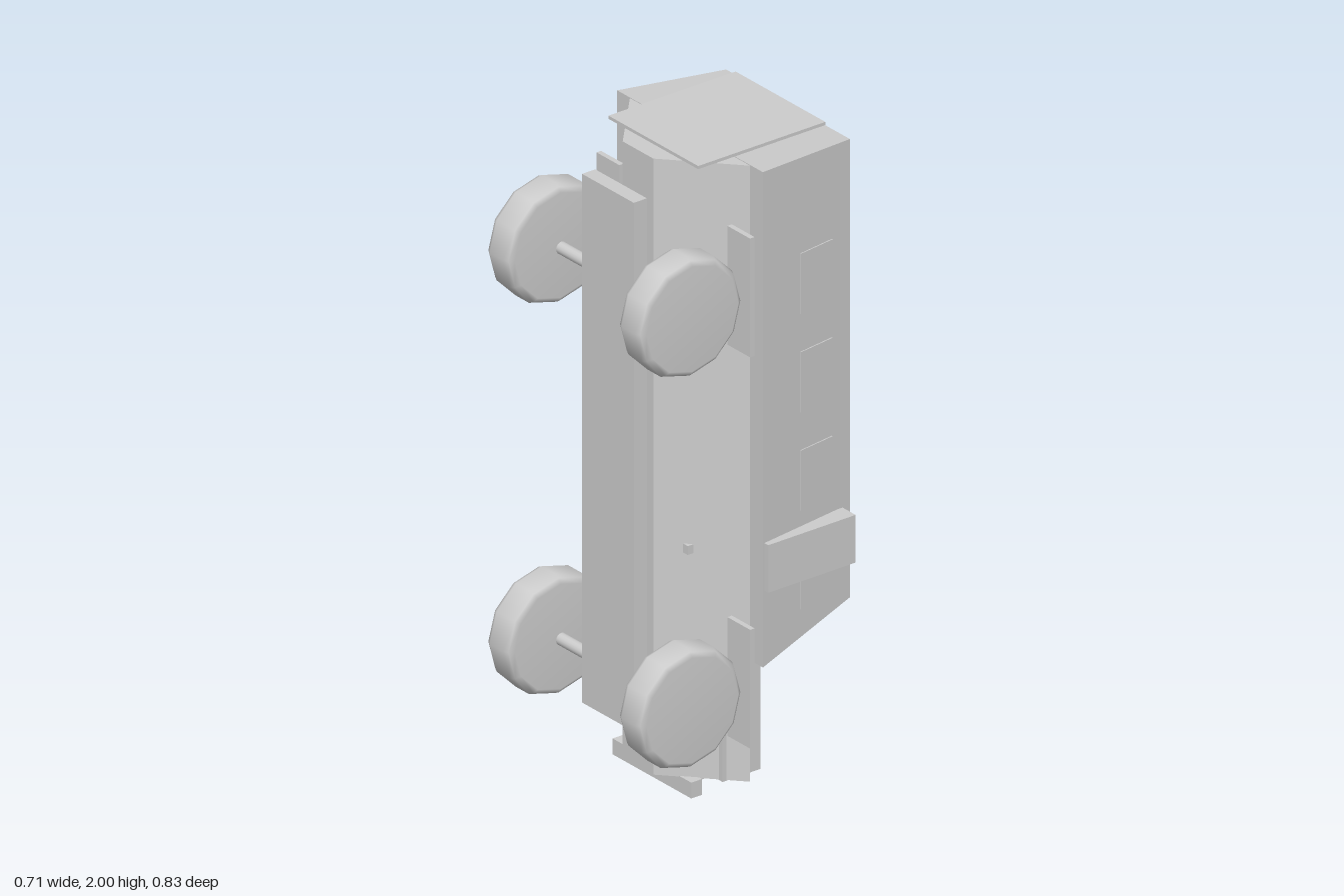
import * as THREE from 'three';

const paint = new THREE.MeshStandardMaterial({ color: 0xcccccc });
paint.name = 'plain grey';

export function createModel() {
  const model = new THREE.Group();
  model.name = 'armouredTruck';

  const add = (name, geometry, x = 0, y = 0, z = 0) => {
    const mesh = new THREE.Mesh(geometry, paint);
    mesh.name = name;
    mesh.position.set(x, y, z);
    model.add(mesh);
    return mesh;
  };
  // box given by its limits along each axis
  const box = (name, [x0, x1], [y0, y1], [z0, z1]) =>
    add(name, new THREE.BoxGeometry(x1 - x0, y1 - y0, z1 - z0),
      (x0 + x1) / 2, (y0 + y1) / 2, (z0 + z1) / 2);

  // V-shaped lower hull, section in x and -z, running along y
  const section = new THREE.Shape([[-0.07, -0.142], [0.07, -0.142], [0.275, 0.045], [-0.275, 0.045]]
    .map(([x, y]) => new THREE.Vector2(x, y)));
  const hull = new THREE.ExtrudeGeometry(section, { depth: 1.94, bevelEnabled: false });
  hull.rotateX(-Math.PI / 2);
  add('lowerHull', hull, 0, 0.048, 0);

  // tapered cabin: narrower at the roof, sloping at both ends
  const cabin = new THREE.BoxGeometry(2, 2, 2);
  const p = cabin.attributes.position;
  for (let i = 0; i < p.count; i++) {
    const roof = p.getZ(i) < 0;
    const nose = p.getY(i) < 0;
    p.setXYZ(i, p.getX(i) * (roof ? 0.283 : 0.333),
      roof ? (nose ? 0.525 : 1.968) : (nose ? 0.43 : 1.99),
      roof ? -0.397 : -0.045);
  }
  cabin.computeVertexNormals();
  add('cabin', cabin);

  // hood, grille, bumper and rear door
  box('hood', [-0.225, 0.225], [0.046, 0.435], [-0.122, 0.015]);
  for (let i = 0; i < 4; i++) {
    const z = -0.045 + i * 0.024;
    box('grilleSlat', [-0.16, 0.16], [0.036, 0.052], [z, z + 0.012]);
  }
  box('bumper', [-0.18, 0.18], [0, 0.05], [0.053, 0.092]);
  box('rearDoor', [-0.205, 0.205], [1.99, 2], [-0.37, 0.087]);

  // chassis beam below the hull
  box('chassisBeam', [-0.118, 0.118], [0.235, 1.9], [0.203, 0.25]);
  box('hullPeg', [-0.155, 0.155], [0.755, 0.783], [0.055, 0.085]);

  // wheel profile, turned around the axle
  const profile = [[0, -0.056], [0.165, -0.056], [0.18, -0.046], [0.188, -0.03],
    [0.188, 0.03], [0.18, 0.046], [0.165, 0.056], [0, 0.056]]
    .map(([r, h]) => new THREE.Vector2(r, h));
  const wheel = new THREE.LatheGeometry(profile, 12);
  wheel.rotateZ(Math.PI / 2);
  const axle = new THREE.CylinderGeometry(0.019, 0.019, 0.52, 16);
  axle.rotateZ(Math.PI / 2);

  for (const y of [0.387, 1.619]) {
    add('axle', axle, 0, y - 0.008, 0.225);
    for (const s of [-1, 1]) {
      add('wheel', wheel, s * 0.301, y, 0.227);
      add('fender', new THREE.BoxGeometry(0.104, 0.374, 0.016), s * 0.299, y, 0.007);
    }
  }

  // side lockers and windows on the sloping cabin sides
  for (const s of [-1, 1]) {
    add('sideLocker', new THREE.BoxGeometry(0.06, 0.15, 0.314), s * 0.32, 0.745, -0.208);
    for (let i = 0; i < 4; i++) {
      const pane = add('sideWindow', new THREE.BoxGeometry(0.006, 0.19, 0.13),
        s * 0.303, 0.655 + i * 0.31, -0.26);
      pane.rotation.y = s * 0.136;
    }
  }

  // round roof hatch: rim, lid in two halves, handle and hinge
  const rimShape = new THREE.Shape().absarc(0, 0, 0.11, 0, Math.PI * 2);
  rimShape.holes.push(new THREE.Path().absarc(0, 0, 0.1, 0, Math.PI * 2, true));
  add('hatchRim', new THREE.ExtrudeGeometry(rimShape,
    { depth: 0.022, bevelEnabled: false, curveSegments: 16 }), 0, 0.828, -0.411);
  for (const s of [-1, 1]) {
    const half = new THREE.Shape();
    half.absarc(0, 0, 0.1, s * Math.PI / 2 - Math.PI / 2 - 1.55, s * Math.PI / 2 - Math.PI / 2 + 1.55);
    const lid = add('hatchLid', new THREE.ExtrudeGeometry(half,
      { depth: 0.008, bevelEnabled: false, curveSegments: 16 }), s * 0.001, 0.828, -0.404);
    lid.scale.x = 0.99;
  }
  box('hatchHandle', [-0.012, 0.012], [0.816, 0.84], [-0.409, -0.4]);
  box('hatchHinge', [-0.012, 0.012], [0.7, 0.724], [-0.405, -0.39]);

  return model;
}
